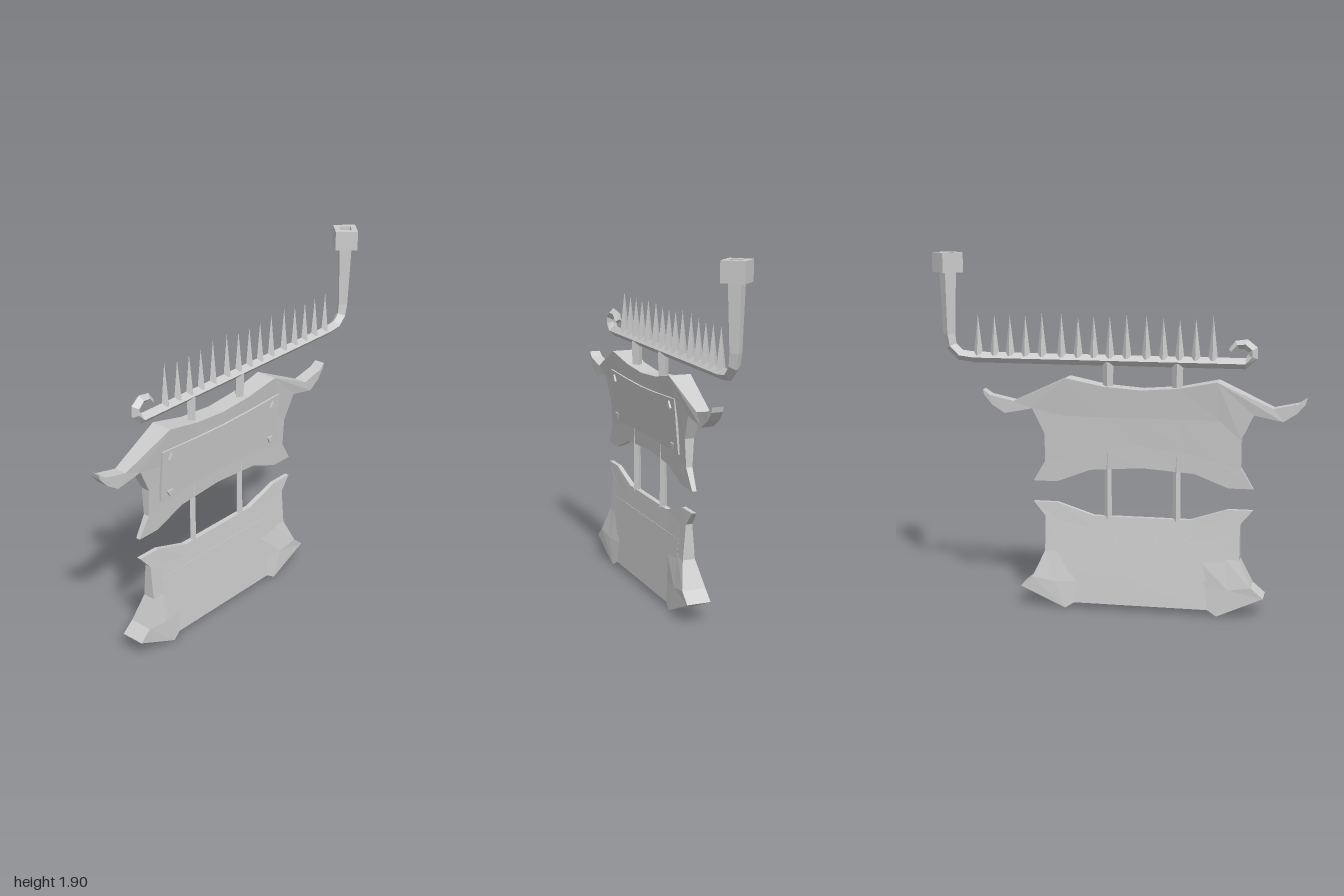
import * as THREE from 'three';

const CX = -0.14; // x of the boards' centre line
const material = new THREE.MeshStandardMaterial({ color: 0xcccccc, flatShading: true });

// Faceted geometry from a list of four-cornered faces
function fromQuads(quads) {
  const pos = [];
  for (const [a, b, c, d] of quads) pos.push(...a, ...b, ...c, ...a, ...c, ...d);
  const g = new THREE.BufferGeometry();
  g.setAttribute('position', new THREE.Float32BufferAttribute(pos, 3));
  g.computeVertexNormals();
  return g;
}

// Closed slab from columns (left to right) of points [x, y, halfDepth] (top to bottom)
function slab(cols) {
  const F = ([x, y, z]) => [x, y, z];
  const B = ([x, y, z]) => [x, y, -z];
  const quads = [];
  const n = cols.length - 1, m = cols[0].length - 1;
  for (let i = 0; i < n; i++) {
    for (let j = 0; j < m; j++) {
      const q = [cols[i][j], cols[i][j + 1], cols[i + 1][j + 1], cols[i + 1][j]];
      quads.push(q.map(F), q.map(B).reverse());
    }
  }
  const rim = [
    ...cols[0].slice(0, m),
    ...cols.slice(0, n).map((c) => c[m]),
    ...cols[n].slice(1).reverse(),
    ...cols.slice(1).reverse().map((c) => c[0]),
  ];
  rim.forEach((p, i) => {
    const q = rim[(i + 1) % rim.length];
    quads.push([F(p), B(p), B(q), F(q)]);
  });
  return fromQuads(quads);
}

const flip = (cols) => cols.map((c) => c.map(([x, y, z]) => [-x, y, z])).reverse();
// The first column lies on the centre line
const symmetric = (cols) => [...flip(cols.slice(1)), ...cols];

// Diamond section swept along a path of [x, y, radius]
function sweep(path) {
  const rings = path.map(([x, y, r], i) => {
    const p = path[Math.max(i - 1, 0)], q = path[Math.min(i + 1, path.length - 1)];
    const t = new THREE.Vector2(q[0] - p[0], q[1] - p[1]).normalize();
    const nx = -t.y * r, ny = t.x * r;
    return [[x + nx, y + ny, 0], [x, y, r], [x - nx, y - ny, 0], [x, y, -r]];
  });
  const quads = [[...rings[0]].reverse(), rings[rings.length - 1]];
  for (let i = 0; i < rings.length - 1; i++) {
    for (let k = 0; k < 4; k++) {
      const l = (k + 1) % 4;
      quads.push([rings[i][k], rings[i][l], rings[i + 1][l], rings[i + 1][k]]);
    }
  }
  return fromQuads(quads);
}

export function createModel() {
  const model = new THREE.Group();
  const add = (name, geometry, x = 0, y = 0, z = 0) => {
    const mesh = new THREE.Mesh(geometry, material);
    mesh.name = name;
    mesh.position.set(x, y, z);
    model.add(mesh);
    return mesh;
  };

  // Beam: curled end, long bar, bend and widening post
  add('beam', sweep([
    [-0.605, 1.41, 0.018], [-0.635, 1.445, 0.023], [-0.68, 1.45, 0.026], [-0.715, 1.42, 0.028],
    [-0.715, 1.385, 0.028], [-0.68, 1.348, 0.029], [0.77, 1.348, 0.029], [0.85, 1.358, 0.03],
    [0.898, 1.405, 0.031], [0.91, 1.47, 0.033], [0.912, 1.8, 0.046],
  ]));

  // Hollow square block on top of the post
  const diamond = (r, P) => new P().setFromPoints(
    [[r, 0], [0, r], [-r, 0], [0, -r]].map(([x, y]) => new THREE.Vector2(x, y)));
  const block = diamond(0.085, THREE.Shape);
  block.holes.push(diamond(0.042, THREE.Path));
  const blockGeometry = new THREE.ExtrudeGeometry(block, { depth: 0.105, bevelEnabled: false });
  add('postBlock', blockGeometry.rotateX(-Math.PI / 2), 0.912, 1.797, 0);

  // Row of spikes along the bar
  const spikes = [-0.51, -0.42, -0.335, -0.25, -0.16, -0.055, 0.035, 0.12, 0.205, 0.295, 0.4, 0.49, 0.575, 0.66, 0.75];
  spikes.forEach((x, i) => {
    const h = i % 5 === 0 || i === 4 || i === 9 ? 0.23 : 0.215;
    add('spike', new THREE.ConeGeometry(0.026, h, 4), x, 1.36 + h / 2, 0);
  });

  // Hanging rods: thick stubs above, thin rods between the boards
  for (const x of [-0.325, 0.045]) {
    add('upperRod', new THREE.CylinderGeometry(0.03, 0.026, 0.19, 4), x, 1.245, 0);
    add('lowerRod', new THREE.CylinderGeometry(0.018, 0.021, 0.45, 4), x, 0.725, 0);
  }

  // Upper board with flared lower corners
  const upper = [
    [[0, 1.2, 0.05], [0, 1.05, 0.032], [0, 0.9, 0.02], [0, 0.78, 0.015]],
    [[0.2, 1.215, 0.052], [0.2, 1.05, 0.032], [0.23, 0.87, 0.019], [0.28, 0.76, 0.014]],
    [[0.4, 1.255, 0.06], [0.41, 1.05, 0.032], [0.42, 0.82, 0.018], [0.46, 0.69, 0.012]],
    [[0.59, 1.085, 0.036], [0.525, 0.95, 0.026], [0.525, 0.8, 0.017], [0.59, 0.69, 0.012]],
  ];
  add('upperBoard', slab(symmetric(upper)), CX);

  // Upturned wings on both sides of the upper board
  const wing = [
    [[0.4, 1.255, 0.06], [0.59, 1.085, 0.036]],
    [[0.69, 1.122, 0.036], [0.74, 1.055, 0.034]],
    [[0.82, 1.15, 0.034], [0.81, 1.1, 0.033]],
    [[0.86, 1.178, 0.03], [0.853, 1.15, 0.03]],
  ];
  add('wingLeft', slab(wing), CX);
  add('wingRight', slab(flip(wing)), CX);

  // Name plate on the front, leaning with the board
  const plate = symmetric([
    [[0, 1.125, 0.006], [0, 0.865, 0.006]],
    [[0.2, 1.13, 0.006], [0.2, 0.862, 0.006]],
    [[0.45, 1.143, 0.006], [0.45, 0.853, 0.006]],
  ]);
  const plateGeometry = slab(plate);
  const p = plateGeometry.attributes.position;
  for (let i = 0; i < p.count; i++) p.setZ(i, p.getZ(i) + 0.024 + (p.getY(i) - 0.855) * 0.083);
  add('plate', plateGeometry, CX);

  // Triangular studs in the plate corners, pointing up above and down below
  for (const s of [-1, 1]) {
    for (const [y, z, turn] of [[1.1, 0.052, 0], [0.89, 0.033, Math.PI]]) {
      const stud = new THREE.CylinderGeometry(0.024, 0.024, 0.018, 3);
      stud.rotateX(Math.PI / 2).rotateZ(Math.PI + turn);
      add('stud', stud, CX + s * 0.39, y, z);
    }
  }

  // Lower board, thickening downwards
  const lean = (y) => 0.014 + (0.51 - y) * 0.09;
  const lower = [
    [0, 0.45, 0.31, 0.15, 0.035].map((y, j) => [0, j ? y : 0.51, lean(j ? y : 0.51)]),
    [[0.26, 0.51], [0.27, 0.45], [0.3, 0.31], [0.35, 0.15], [0.36, 0.035]].map(([x, y]) => [x, y, lean(y)]),
    [[0.46, 0.575, 0.012], [0.45, 0.48, 0.018], [0.45, 0.31, 0.033], [0.47, 0.15, 0.06], [0.41, 0.005, 0.065]],
    [[0.59, 0.575, 0.012], [0.525, 0.5, 0.018], [0.525, 0.31, 0.034], [0.59, 0.17, 0.065], [0.655, 0.115, 0.065]],
  ];
  add('lowerBoard', slab(symmetric(lower)), CX);

  // Almost flush panel on the lower board
  const panel = [-0.45, 0.45].map((x) => [0.4, 0.19].map((y) => [x, y, lean(y) + 0.002]));
  add('lowerPanel', slab(panel), CX);

  return model;
}
